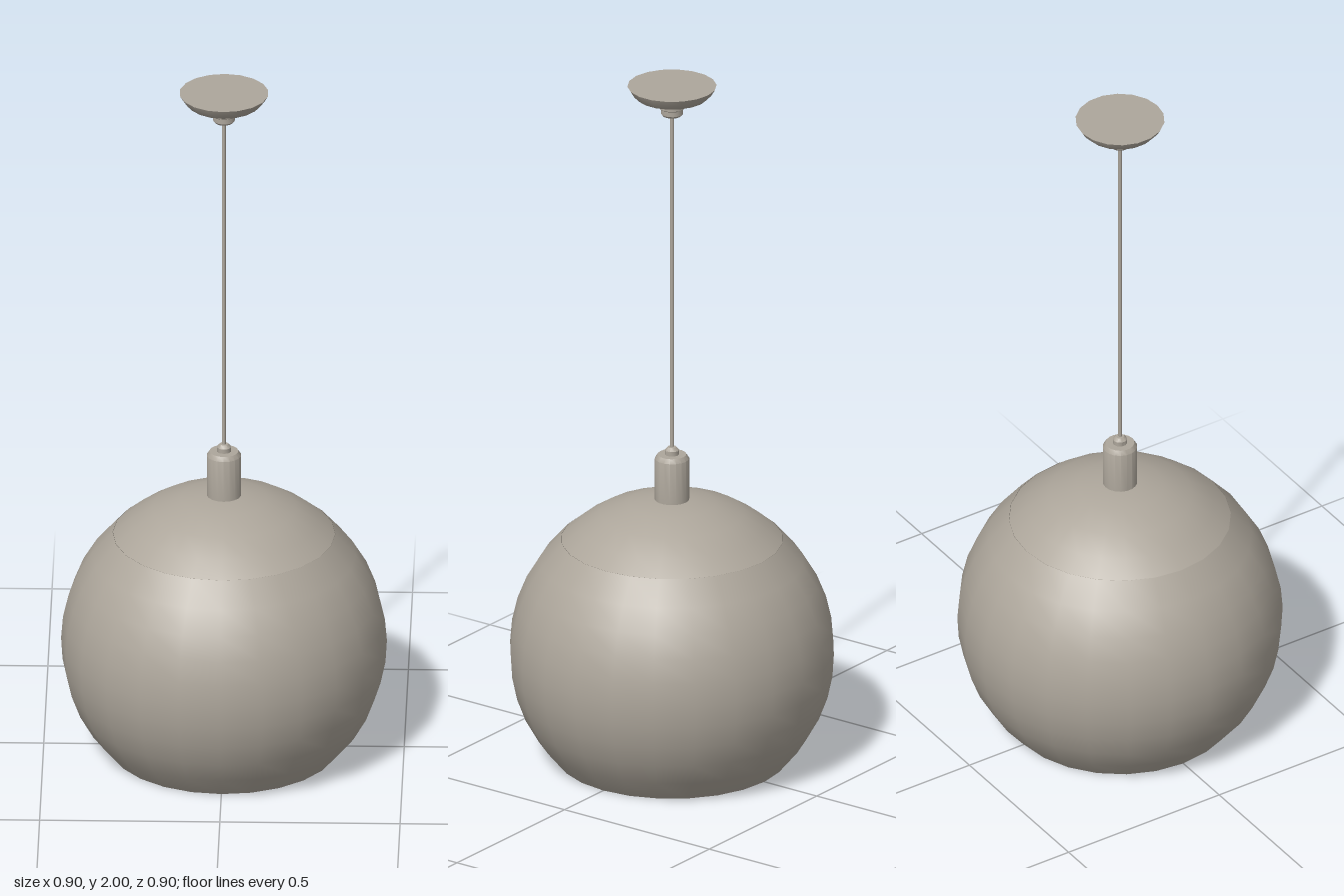
import * as THREE from 'three';
import { toCreasedNormals } from 'three/addons/utils/BufferGeometryUtils.js';

const stone = new THREE.MeshStandardMaterial({ color: 0xada69b, side: THREE.DoubleSide });
stone.name = 'warm grey';

// Turned part from [radius, height] points listed bottom to top
function turned(name, profile, sides) {
  const points = profile.map(([r, y]) => new THREE.Vector2(r, y));
  const geometry = toCreasedNormals(new THREE.LatheGeometry(points, sides), 0.65);
  const mesh = new THREE.Mesh(geometry, stone);
  mesh.name = name;
  return mesh;
}

export function createModel() {
  const group = new THREE.Group();
  group.name = 'pendantLamp';

  // Globe shade, open at the bottom and cut off at the cap seam
  const radius = 0.452, centre = 0.32, steps = 10;
  const globe = [];
  for (let i = 0; i <= steps; i++) {
    const y = 0.65 * i / steps;
    globe.push([Math.sqrt(radius ** 2 - (y - centre) ** 2), y]);
  }
  group.add(turned('globeShade', globe, 24));

  // Shallow domed cap closing the top of the globe
  group.add(turned('shadeCap', [
    [0.308, 0.65], [0.26, 0.69], [0.2, 0.728], [0.12, 0.758], [0.06, 0.768], [0, 0.77],
  ], 24));

  // Lamp socket with a bevelled top
  group.add(turned('socket', [
    [0, 0.765], [0.048, 0.765], [0.048, 0.89], [0.04, 0.902], [0, 0.902],
  ], 18));

  // Cord grip on the socket
  group.add(turned('cordGrip', [
    [0.02, 0.9], [0.02, 0.915], [0.012, 0.924], [0, 0.924],
  ], 10));

  // Thin hanging cord
  group.add(turned('cord', [[0.005, 0.92], [0.005, 1.92]], 8));

  // Ceiling canopy: flat top and a shallow bowl
  group.add(turned('ceilingCanopy', [
    [0, 1.953], [0.04, 1.954], [0.075, 1.959], [0.1, 1.968],
    [0.114, 1.983], [0.124, 2], [0, 2],
  ], 18));

  // Stepped collar under the canopy
  group.add(turned('canopyCollar', [
    [0, 1.912], [0.026, 1.912], [0.031, 1.918], [0.031, 1.932],
    [0.037, 1.936], [0.037, 1.956],
  ], 16));

  return group;
}
